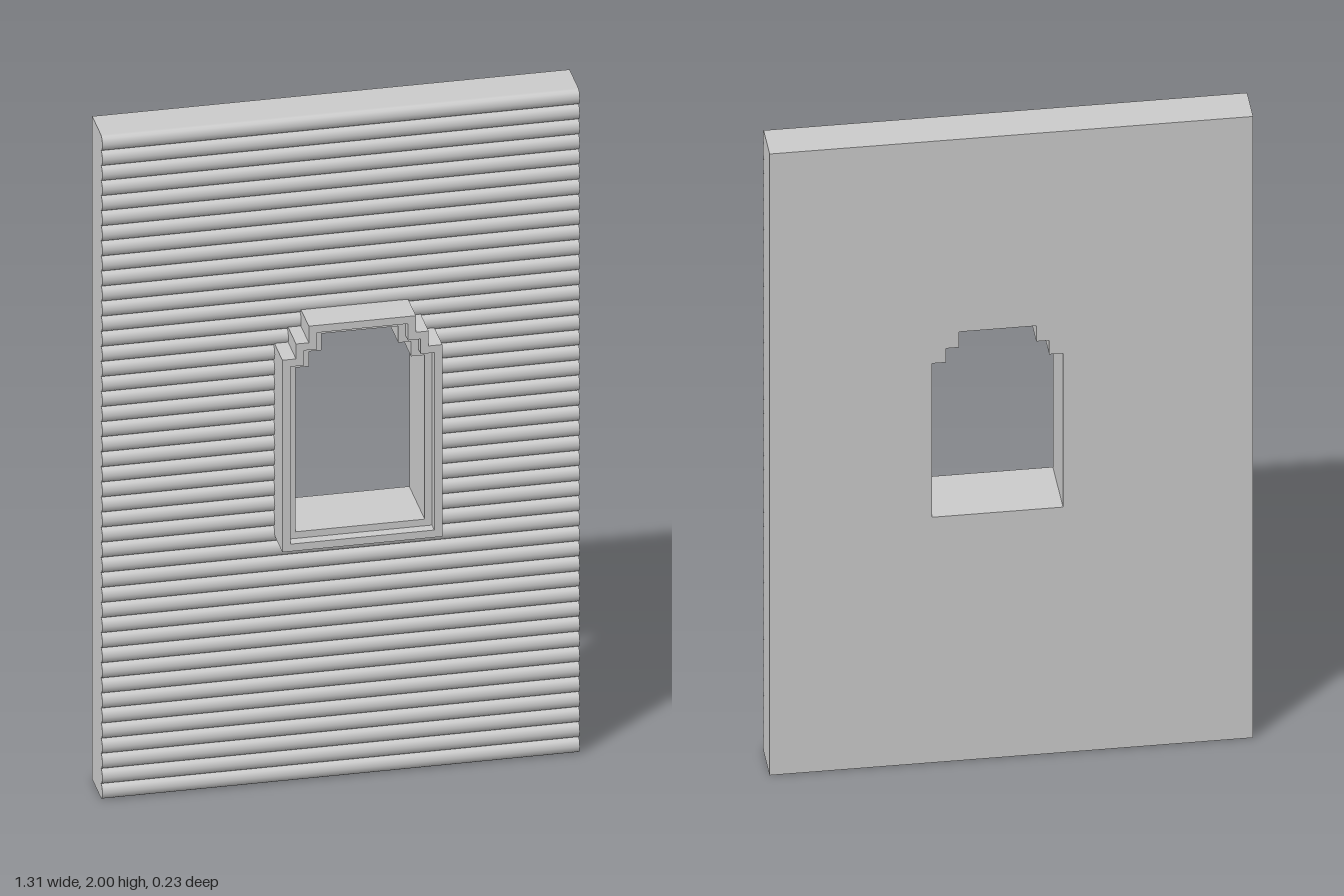
import * as THREE from 'three';
import { mergeGeometries } from 'three/addons/utils/BufferGeometryUtils.js';

const W = 0.655, H = 2, BACK = -0.112, ROWS = 44;
const CX = 0.0375; // centre of the window in x

// Stepped-arch outline: half widths and heights of the three tiers
const tiers = (grow) => ({
  bottom: 0.79 - grow,
  steps: [[0.1775 + grow, 1.285 + grow], [0.14 + grow, 1.33 + grow], [0.105 + grow, 1.38 + grow]],
});

function outline(grow) {
  const { bottom, steps } = tiers(grow);
  const right = [[steps[0][0], bottom]];
  steps.forEach(([w, y], i) => {
    right.push([w, y]);
    if (steps[i + 1]) right.push([steps[i + 1][0], y]);
  });
  const left = right.map(([w, y]) => [-w, y]).reverse();
  return [...right, ...left].map(([x, y]) => new THREE.Vector2(CX + x, y));
}

function extrude(outer, hole, z0, z1) {
  const shape = new THREE.Shape(outer);
  shape.holes.push(new THREE.Path(hole));
  const g = new THREE.ExtrudeGeometry(shape, { depth: z1 - z0, bevelEnabled: false });
  return g.translate(0, 0, z0);
}

// Half width of the opening across a row of cladding (0 when the row misses it)
function openingHalfWidth(y0, y1) {
  const { bottom, steps } = tiers(0);
  if (y1 <= bottom) return 0;
  const tier = steps.find(([, top]) => y0 < top);
  return tier ? tier[0] : 0;
}

export function createModel() {
  const group = new THREE.Group();
  const material = new THREE.MeshStandardMaterial({ color: 0xcccccc });
  const add = (name, geometry) => {
    const mesh = new THREE.Mesh(geometry, material);
    mesh.name = name;
    group.add(mesh);
  };

  // Flat wall slab with the window cut through
  const rect = [[-W, 0], [W, 0], [W, H], [-W, H]].map(([x, y]) => new THREE.Vector2(x, y));
  add('wallSlab', extrude(rect, outline(0), BACK, 0));

  // Rounded horizontal cladding rows, interrupted by the window
  const pitch = H / ROWS, logs = [];
  const addLog = (x0, x1, y) => {
    const g = new THREE.CylinderGeometry(pitch / 2, pitch / 2, x1 - x0, 8, 1, false, -Math.PI / 2, Math.PI);
    g.rotateZ(Math.PI / 2).scale(1, 1, 0.8).translate((x0 + x1) / 2, y, 0);
    logs.push(g);
  };
  for (let i = 0; i < ROWS; i++) {
    const y = (i + 0.5) * pitch;
    const half = openingHalfWidth(y - pitch / 2, y + pitch / 2);
    if (half) {
      addLog(-W, CX - half, y);
      addLog(CX + half, W, y);
    } else addLog(-W, W, y);
  }
  add('claddingRows', mergeGeometries(logs));

  // Projecting window surround: raised outer rim and recessed inner rim
  add('outerFrame', extrude(outline(0.042), outline(0.02), 0, 0.115));
  add('innerFrame', extrude(outline(0.02), outline(0), 0, 0.085));

  return group;
}
